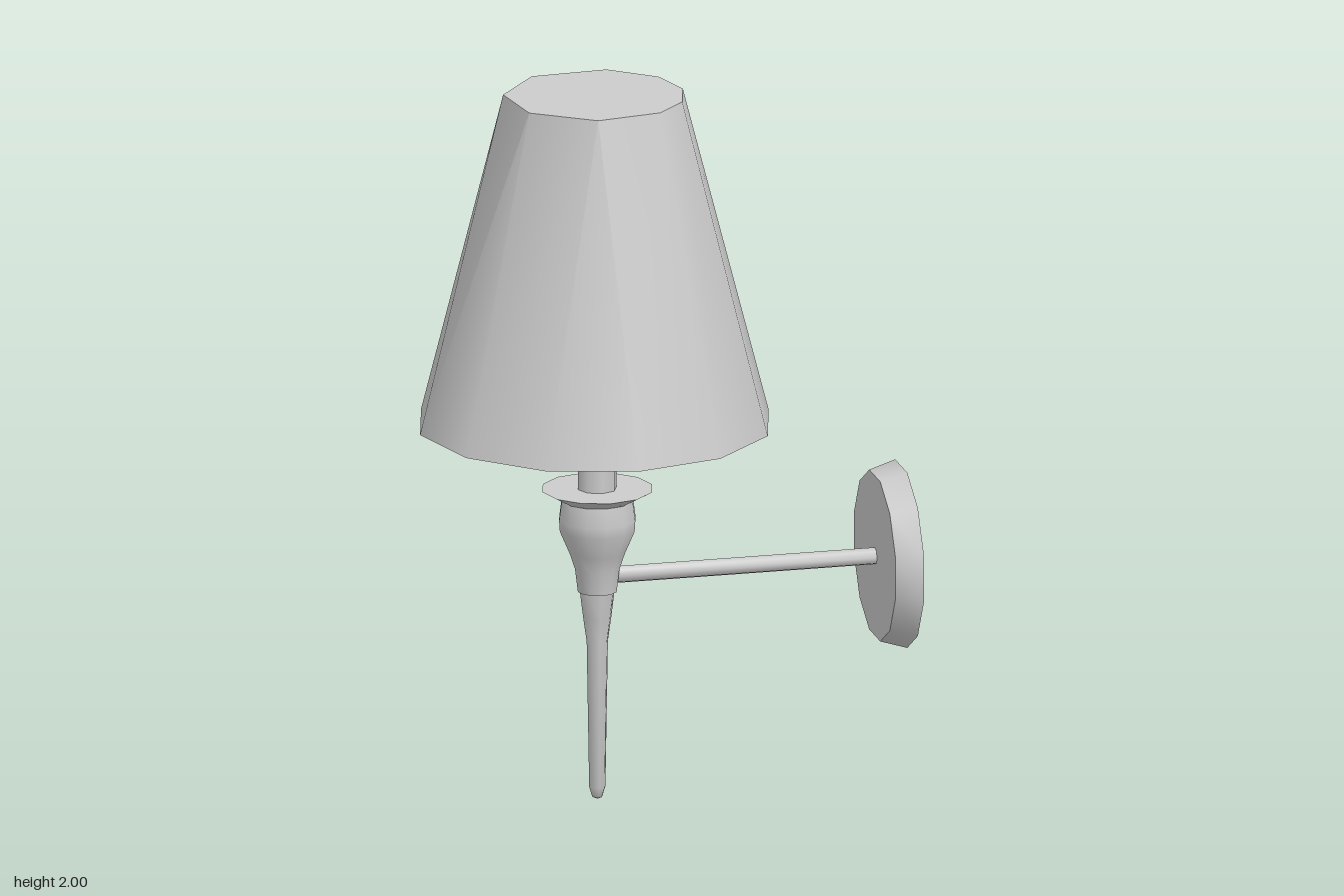
import * as THREE from 'three';
import { toCreasedNormals } from 'three/addons/utils/BufferGeometryUtils.js';

const AXIS_X = -0.185, BODY_Z = 0.032, ARM_Y = 0.636;
const grey = new THREE.MeshStandardMaterial({ color: 0xcccccc, side: THREE.DoubleSide });

function addPart(parent, name, geometry, x = 0, y = 0, z = 0) {
  const mesh = new THREE.Mesh(geometry, grey);
  mesh.name = name;
  mesh.position.set(x, y, z);
  parent.add(mesh);
  return mesh;
}

// Turned part from [radius, height] pairs, smooth except at sharp edges
function turned(profile, sides, crease = 0.75) {
  const points = profile.map(([r, y]) => new THREE.Vector2(r, y));
  return toCreasedNormals(new THREE.LatheGeometry(points, sides), crease);
}

// Tapered shade: regular 12-sided rim below, irregular 9-sided rim on top
function makeShade() {
  const shade = new THREE.Group();
  shade.name = 'lampShade';
  const bottom = 1.065, top = 2, topRadius = 0.25;
  // Angle in degrees of the top corner above each bottom corner
  const topAngles = [0, 30, 58, 102, 102, 150, 195, 195, 241, 292, 292, 329];
  const corner = (deg) => {
    const a = THREE.MathUtils.degToRad(deg);
    return [Math.cos(a) * topRadius, Math.sin(a) * topRadius];
  };
  const wall = new THREE.CylinderGeometry(topRadius, 0.493, top - bottom, 12, 1, true);
  const pos = wall.attributes.position;
  for (let i = 0; i <= 12; i++) {
    const [x, z] = corner(topAngles[(15 - i) % 12]);
    pos.setXYZ(i, x, (top - bottom) / 2, z);
  }
  addPart(shade, 'shadeWall', toCreasedNormals(wall, 0.75), 0, (top + bottom) / 2, 0);

  const outline = [...new Set(topAngles)].map((deg) => {
    const [x, z] = corner(deg);
    return new THREE.Vector2(x, -z);
  });
  const lid = new THREE.ShapeGeometry(new THREE.Shape(outline));
  lid.rotateX(-Math.PI / 2);
  addPart(shade, 'shadeTop', lid, 0, top, 0);
  shade.position.x = AXIS_X;
  return shade;
}

export function createModel() {
  const model = new THREE.Group();
  model.name = 'wallLamp';
  model.add(makeShade());

  // Central turned body
  const body = new THREE.Group();
  body.name = 'body';
  body.position.set(AXIS_X, 0, BODY_Z);
  model.add(body);
  addPart(body, 'candleTube',
    toCreasedNormals(new THREE.CylinderGeometry(0.054, 0.054, 0.58, 8), 0.9), 0, 1.16, 0);
  addPart(body, 'dripTray',
    turned([[0, 0.855], [0.1, 0.855], [0.155, 0.886], [0, 0.886]], 12));
  addPart(body, 'cup', turned([[0, 0.594], [0.055, 0.594], [0.063, 0.66], [0.078, 0.705],
    [0.106, 0.77], [0.108, 0.8], [0.1, 0.86]], 12));
  addPart(body, 'stem', turned([[0, 0], [0.014, 0.006], [0.023, 0.035], [0.03, 0.45],
    [0.04, 0.52], [0.05, 0.6]], 8, 0.9));

  // Side arm and wall plate
  const arm = addPart(model, 'arm',
    toCreasedNormals(new THREE.CylinderGeometry(0.024, 0.024, 0.76, 8), 0.9), 0.23, ARM_Y, BODY_Z);
  arm.rotation.z = -Math.PI / 2;
  const plate = new THREE.CylinderGeometry(0.259, 0.236, 0.075, 12, 1, false, Math.PI / 12);
  plate.rotateZ(-Math.PI / 2);
  addPart(model, 'wallPlate', toCreasedNormals(plate, 0.75), 0.6375, ARM_Y, 0.03);

  return model;
}
